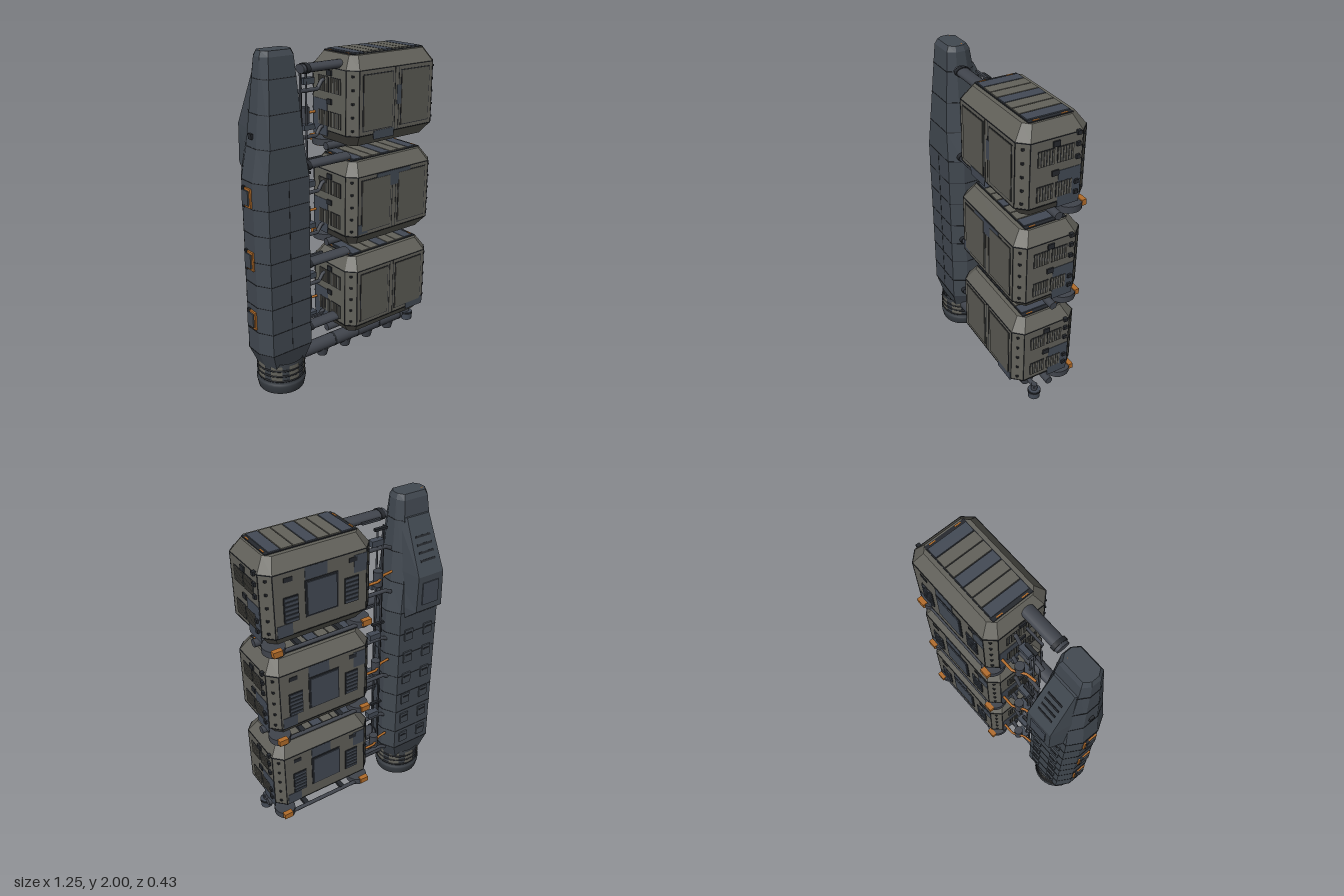
import * as THREE from 'three';

const mat = (name, color, extra = {}) => Object.assign(new THREE.MeshStandardMaterial({ color, ...extra }), { name });

export function createModel() {
  const M = {
    hull: mat('slate hull', 0x414850, { flatShading: true }),
    pod: mat('olive grey armour', 0x62615a, { flatShading: true }),
    door: mat('door grey', 0x5c5b54),
    patch: mat('blue grey plate', 0x434a55),
    pipe: mat('pipe grey', 0x40444c),
    dark: mat('dark seam', 0x25282d),
    orange: mat('rust orange', 0xb26c2a),
    nozzle: mat('nozzle grey', 0x3a3f45, { side: THREE.DoubleSide }),
  };
  const root = new THREE.Group();
  root.name = 'towerWithContainers';

  const group = (name, parent = root) => {
    const g = new THREE.Group();
    g.name = name;
    parent.add(g);
    return g;
  };
  const add = (p, name, geo, m, x = 0, y = 0, z = 0) => {
    const mesh = new THREE.Mesh(geo, m);
    mesh.name = name;
    mesh.position.set(x, y, z);
    p.add(mesh);
    return mesh;
  };
  const box = (p, name, m, w, h, d, x, y, z) => add(p, name, new THREE.BoxGeometry(w, h, d), m, x, y, z);
  const rod = (p, name, m, r, len, axis, x, y, z, seg = 14) => {
    const g = new THREE.CylinderGeometry(r, r, len, seg);
    if (axis === 'x') g.rotateZ(Math.PI / 2);
    if (axis === 'z') g.rotateX(Math.PI / 2);
    return add(p, name, g, m, x, y, z);
  };
  const tube = (p, name, m, r, pts) => {
    const path = new THREE.CurvePath();
    const v = pts.map(a => new THREE.Vector3(...a));
    for (let i = 1; i < v.length; i++) path.add(new THREE.LineCurve3(v[i - 1], v[i]));
    return add(p, name, new THREE.TubeGeometry(path, (v.length - 1) * 6, r, 8), m);
  };

  // Skin over stacked cross-sections: levels are [y, [[x, z], ...]]
  const loft = levels => {
    const pos = [];
    const tri = (...ps) => ps.forEach(q => pos.push(...q));
    const rings = levels.map(([y, pts]) => pts.map(([x, z]) => [x, y, z]));
    const n = rings[0].length;
    for (let k = 0; k + 1 < rings.length; k++) for (let i = 0; i < n; i++) {
      const j = (i + 1) % n, a = rings[k][i], b = rings[k][j], c = rings[k + 1][j], d = rings[k + 1][i];
      tri(a, d, c);
      tri(a, c, b);
    }
    const top = rings[rings.length - 1], bot = rings[0];
    for (let i = 1; i + 1 < n; i++) {
      tri(top[0], top[i + 1], top[i]);
      tri(bot[0], bot[i], bot[i + 1]);
    }
    const g = new THREE.BufferGeometry();
    g.setAttribute('position', new THREE.Float32BufferAttribute(pos, 3));
    g.computeVertexNormals();
    return g;
  };
  const octagon = (hx, hz, fx, fz, cz = 0) => [
    [hx, fz], [fx, hz], [-fx, hz], [-hx, fz], [-hx, -fz], [-fx, -hz], [fx, -hz], [hx, -fz],
  ].map(([x, z]) => [x, z + cz]);

  // Tower hull: [y, half width, half depth, centre z]
  const tower = group('tower');
  tower.position.x = -0.425;
  const profile = [[0.16, 0.13, 0.105, 0.015], [0.28, 0.18, 0.135, 0.015], [1.32, 0.18, 0.135, 0.015],
    [1.5, 0.148, 0.122, 0.02], [1.97, 0.105, 0.07, 0.035], [2.0, 0.092, 0.055, 0.035]];
  const section = (y, grow = 0) => {
    let k = 0;
    while (k < profile.length - 2 && y > profile[k + 1][0]) k++;
    const a = profile[k], b = profile[k + 1], t = (y - a[0]) / (b[0] - a[0]);
    const [w, d, c] = [1, 2, 3].map(i => a[i] + (b[i] - a[i]) * t);
    return octagon(w + grow, d + grow, w * 0.74, d * 0.4, c);
  };
  add(tower, 'hull', loft(profile.map(q => [q[0], section(q[0])])), M.hull);
  [0.28, 0.42, 0.58, 0.72, 0.86, 1.02, 1.17, 1.32, 1.5, 1.68, 1.86].forEach(y =>
    add(tower, 'hullSeam', loft([[y - 0.002, section(y - 0.002, 0.002)], [y + 0.002, section(y + 0.002, 0.002)]]), M.dark));
  box(tower, 'frontSeam', M.dark, 0.003, 1.04, 0.003, 0, 0.8, 0.15);
  for (const s of [-1, 1]) box(tower, 'topMarker', M.orange, 0.016, 0.004, 0.006, s * 0.07, 2.0, 0.01).position.y = 1.998;

  // Hump on the back of the tower
  const hump = (y, w, z, bw) => [y, [[w, 0], [-w, 0], [-bw, z], [bw, z]]];
  add(tower, 'backHump', loft([hump(1.27, 0.14, -0.1, 0.11), hump(1.36, 0.14, -0.205, 0.09),
    hump(1.58, 0.125, -0.205, 0.085), hump(1.88, 0.1, -0.06, 0.075)]), M.hull);
  box(tower, 'humpPanel', M.patch, 0.11, 0.14, 0.008, 0, 1.47, -0.207);
  const slope = group('humpSlope', tower);
  slope.position.set(0, 1.72, -0.137);
  slope.rotation.x = Math.atan2(0.145, 0.3);
  for (let i = 0; i < 4; i++) box(slope, 'humpSlat', M.dark, 0.1, 0.012, 0.008, 0, -0.07 + i * 0.045, 0);

  // Back hatches and side hatches
  for (let i = 0; i < 6; i++) {
    const y = 0.36 + i * 0.16;
    for (const s of [-1, 1]) {
      box(tower, 'backHatch', M.hull, 0.06, 0.075, 0.014, s * 0.07, y, -0.122);
      box(tower, 'backHatchSlot', M.dark, 0.04, 0.01, 0.004, s * 0.07, y + 0.015, -0.13);
    }
  }
  for (const y of [0.49, 0.86, 1.23]) {
    box(tower, 'sideHatchFrame', M.orange, 0.012, 0.11, 0.085, -0.184, y, 0.015);
    box(tower, 'sideHatch', M.hull, 0.026, 0.085, 0.06, -0.185, y, 0.015);
    for (const s of [-1, 1]) box(tower, 'sideHatchHinge', M.dark, 0.014, 0.03, 0.02, -0.188, y + s * 0.045, -0.01);
  }
  box(tower, 'upperSideBump', M.dark, 0.03, 0.03, 0.03, -0.14, 1.56, 0.02);

  // Engine nozzle, hollow from below
  const engine = group('engine', tower);
  engine.position.z = 0.02;
  const nozzle = [[0.09, 0.1], [0.125, 0], [0.138, 0], [0.148, 0.05], [0.148, 0.065], [0.138, 0.07], [0.138, 0.2]];
  add(engine, 'nozzle', new THREE.LatheGeometry(nozzle.map(q => new THREE.Vector2(...q)), 28), M.nozzle);
  const plug = add(engine, 'nozzleThroat', new THREE.CircleGeometry(0.092, 24), M.dark, 0, 0.1, 0);
  plug.rotation.x = Math.PI / 2;
  for (const y of [0.085, 0.12, 0.155]) {
    const ring = add(engine, 'engineRing', new THREE.TorusGeometry(0.14, 0.006, 6, 28), M.dark, 0, y, 0);
    ring.rotation.x = Math.PI / 2;
  }
  for (let i = 0; i < 8; i++)
    add(engine, 'enginePlate', new THREE.CylinderGeometry(0.142, 0.142, 0.1, 4, 1, true, i * Math.PI / 4 - 0.24, 0.48), M.pod, 0, 0.135, 0);

  // Louvred vent lying in its own xy plane
  const vent = (p, w, h, n, upright, x, y, z, ry) => {
    const g = group('vent', p);
    g.position.set(x, y, z);
    g.rotation.y = ry;
    box(g, 'ventBack', M.dark, w, h, 0.006, 0, 0, 0);
    for (let i = 0; i < n; i++) {
      const t = (i + 0.5) / n - 0.5;
      if (upright) box(g, 'ventSlat', M.pod, w / n * 0.6, h * 0.94, 0.012, t * w, 0, 0);
      else box(g, 'ventSlat', M.patch, w * 0.9, h / n * 0.55, 0.014, 0, t * h, 0);
    }
  };

  // Container pods, local origin at the centre of the pod's bottom
  const pod = (name, y0, patches) => {
    const g = group(name);
    g.position.set(0.283, y0, 0.006);
    const H = 0.505, X = 0.326, Z = 0.203;
    const big = octagon(X, Z, X - 0.052, Z - 0.055), small = octagon(X - 0.05, Z - 0.055, X - 0.085, Z - 0.09);
    add(g, 'shell', loft([[0, small], [0.07, big], [H - 0.075, big], [H, small]]), M.pod);
    // Front doors with dark surrounds
    for (const s of [-1, 1]) {
      box(g, 'doorSurround', M.dark, 0.222, 0.318, 0.004, s * 0.14, 0.25, Z);
      box(g, 'door', M.door, 0.212, 0.308, 0.009, s * 0.14, 0.25, Z);
      box(g, 'centreSeam', M.dark, 0.003, 0.355, 0.003, s * 0.014, 0.25, Z);
    }
    // Seams round the shell at the chamfer lines and down the corners
    for (const y of [0.07, H - 0.075])
      add(g, 'shellSeam', loft([y - 0.002, y + 0.002].map(v => [v, octagon(X + 0.002, Z + 0.002, X - 0.051, Z - 0.054)])), M.dark);
    for (const a of [-1, 1]) for (const b of [-1, 1]) {
      box(g, 'cornerSeam', M.dark, 0.004, 0.36, 0.003, a * (X - 0.052), 0.25, b * Z);
      box(g, 'cornerSeam', M.dark, 0.003, 0.36, 0.004, a * X, 0.25, b * (Z - 0.055));
      for (let i = 0; i < 5; i++) box(g, 'rivet', M.dark, 0.012, 0.012, 0.012, a * (X - 0.026), 0.1 + i * 0.075, b * (Z - 0.027));
    }
    for (const [w, h, x, y] of patches) box(g, 'frontPatch', M.patch, w, h, 0.005, x, y, Z);
    // Ribbed roof
    box(g, 'roofFrame', M.dark, 0.53, 0.008, 0.25, 0, H + 0.001, 0);
    for (let i = 0; i < 7; i++)
      box(g, 'roofSlab', i % 3 ? M.pod : M.patch, 0.064, 0.016, 0.24, (i - 3) * 0.07, H + 0.003, 0);
    for (const a of [-1, 1]) for (const b of [-1, 1])
      box(g, 'roofMarker', M.orange, 0.007, 0.006, 0.038, a * 0.257, H + 0.004, b * 0.08);
    // End faces
    for (const s of [-1, 1]) {
      for (const y of [0.335, 0.14]) {
        vent(g, 0.095, 0.088, 6, true, s * X, y, 0.06, s * Math.PI / 2);
        vent(g, 0.095, 0.088, 6, true, s * X, y, -0.05, s * Math.PI / 2);
      }
      box(g, 'endPatch', M.patch, 0.005, 0.21, 0.13, s * X, 0.14, -0.08);
      for (const y of [0.24, 0.4]) box(g, 'endLatch', M.dark, 0.016, 0.03, 0.04, s * X, y, 0.005);
    }
    for (const y of [0.1, 0.16, 0.3, 0.37, 0.43]) box(g, 'endBracket', M.dark, 0.02, 0.022, 0.022, X + 0.004, y, -0.12);
    // Back face
    box(g, 'backPanelFrame', M.dark, 0.195, 0.21, 0.008, 0, 0.25, -Z);
    box(g, 'backPanel', M.patch, 0.175, 0.19, 0.018, 0, 0.25, -Z);
    for (const s of [-1, 1]) {
      vent(g, 0.085, 0.15, 6, false, s * 0.18, 0.22, -Z - 0.002, 0);
      box(g, 'backLabel', M.dark, 0.05, 0.025, 0.006, s * 0.19, 0.39, -Z);
    }
    box(g, 'backPatch', M.patch, 0.13, 0.07, 0.005, 0.03, 0.393, -Z);
    box(g, 'backPatch', M.patch, 0.08, 0.1, 0.005, -0.235, 0.36, -Z);
    box(g, 'backPatch', M.patch, 0.09, 0.07, 0.005, 0.22, 0.105, -Z);

    // Cradle under the pod
    const c = group('cradle', g);
    rod(c, 'cradleTube', M.pipe, 0.023, 0.65, 'x', 0, -0.028, -0.035);
    rod(c, 'rearRail', M.pipe, 0.012, 0.56, 'x', 0, -0.028, -0.185, 8);
    for (const s of [-1, 1]) {
      const pad = rod(c, 'landingPad', M.pipe, 0.062, 0.04, 'y', s * 0.262, -0.022, -0.14, 20);
      pad.scale.z = 1.15;
      const sole = rod(c, 'padSole', M.orange, 0.056, 0.004, 'y', s * 0.262, -0.043, -0.14, 20);
      sole.scale.z = 1.15;
      box(c, 'rearClamp', M.orange, 0.055, 0.035, 0.03, s * 0.275, -0.012, -0.205);
      box(c, 'crossBar', M.dark, 0.03, 0.02, 0.15, s * 0.13, -0.025, -0.11);
    }

    // Service lines between pod and tower, in world coordinates
    const sv = group(name + 'Services');
    for (const [y, z] of [[0.31, -0.04], [0.04, -0.055]]) {
      tube(sv, 'hose', M.pipe, 0.012, [[-0.26, y0 + y - 0.02, z], [-0.22, y0 + y, z], [-0.09, y0 + y, z], [-0.06, y0 + y + 0.045, z], [-0.03, y0 + y + 0.05, z]]);
    }
    tube(sv, 'orangeLine', M.orange, 0.008, [[-0.25, y0 + 0.16, -0.07], [-0.19, y0 + 0.16, -0.08], [-0.12, y0 + 0.16, -0.125], [-0.03, y0 + 0.16, -0.125]]);
    rod(sv, 'valve', M.pipe, 0.027, 0.09, 'y', -0.143, y0 + 0.16, -0.09);
    box(sv, 'junctionBox', M.patch, 0.075, 0.035, 0.04, -0.15, y0 + 0.36, -0.055);
    box(sv, 'junctionBox', M.patch, 0.075, 0.03, 0.045, -0.15, y0 + 0.1, -0.055);
    box(sv, 'pipeClip', M.dark, 0.08, 0.014, 0.02, -0.18, y0 + 0.43, -0.05);
  };
  pod('upperPod', 1.43, [[0.15, 0.05, -0.095, 0.062], [0.03, 0.11, 0.015, 0.27]]);
  pod('middlePod', 0.83, [[0.26, 0.09, -0.005, 0.447 - 0.065], [0.07, 0.06, -0.24, 0.11]]);
  pod('lowerPod', 0.24, [[0.14, 0.055, 0.2, 0.08]]);

  // Arms from tower to pods
  const arms = group('arms');
  for (const y of [1.885, 1.352, 0.755, 0.34]) {
    rod(arms, 'arm', M.pipe, 0.025, 0.32, 'x', -0.12, y, 0.062).scale.z = 1.6;
    rod(arms, 'armCollar', M.dark, 0.029, 0.025, 'x', -0.25, y, 0.062).scale.z = 1.6;
    box(arms, 'armRail', M.pipe, 0.12, 0.012, 0.014, -0.15, y + 0.005, -0.004);
  }
  for (const [x, z] of [[-0.222, -0.02], [-0.2, -0.045], [-0.168, -0.04]])
    rod(arms, 'riserPipe', M.pipe, 0.006, 1.57, 'y', x, 1.075, z, 8);

  // Bottom boom with nubs and the end fitting
  const boom = group('boom');
  rod(boom, 'boomTube', M.pipe, 0.043, 0.82, 'x', 0.09, 0.174, 0.055, 20);
  for (const x of [-0.14, 0.04, 0.22, 0.4]) {
    add(boom, 'boomNub', new THREE.CylinderGeometry(0.042, 0.03, 0.05, 14), M.pipe, x, 0.125, 0.055);
    rod(boom, 'boomBand', M.dark, 0.0445, 0.012, 'x', x + 0.08, 0.174, 0.055, 20);
  }
  rod(boom, 'endStrut', M.pipe, 0.014, 0.11, 'x', 0.54, 0.185, 0.055);
  rod(boom, 'endPost', M.pipe, 0.018, 0.08, 'y', 0.577, 0.16, 0.055);
  rod(boom, 'endCoupling', M.patch, 0.036, 0.055, 'y', 0.577, 0.132, 0.055);
  rod(boom, 'endRing', M.dark, 0.04, 0.012, 'y', 0.577, 0.15, 0.055);
  return root;
}
